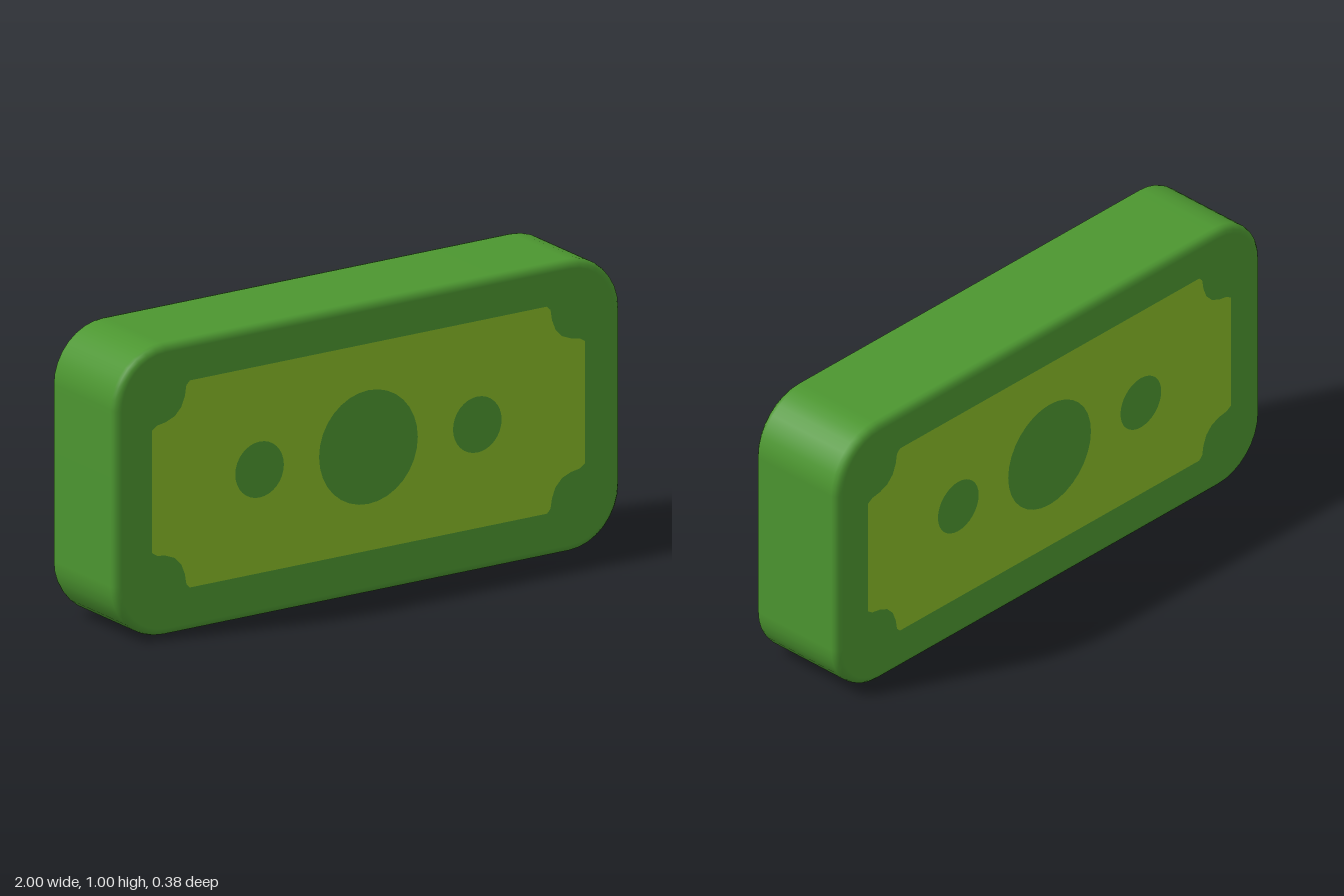
import * as THREE from 'three';

const HALF_W = 1, HALF_H = 0.5, HALF_D = 0.1875, CORNER = 0.2, BEVEL = 0.027;

// Rounded slab with a soft bevel; normals follow the ideal rounded surface
function slabGeometry() {
  const w = HALF_W - BEVEL, h = HALF_H - BEVEL, r = CORNER - BEVEL;
  const s = new THREE.Shape();
  s.moveTo(w, h - r);
  s.absarc(w - r, h - r, r, 0, Math.PI / 2);
  s.absarc(-w + r, h - r, r, Math.PI / 2, Math.PI);
  s.absarc(-w + r, -h + r, r, Math.PI, Math.PI * 1.5);
  s.absarc(w - r, -h + r, r, Math.PI * 1.5, Math.PI * 2);
  const depth = 2 * (HALF_D - BEVEL);
  const geo = new THREE.ExtrudeGeometry(s, {
    depth, curveSegments: 4, bevelEnabled: true,
    bevelSize: BEVEL, bevelThickness: BEVEL, bevelSegments: 3,
  });
  geo.translate(0, 0, -depth / 2);
  const p = geo.attributes.position, n = new THREE.Vector3();
  for (let i = 0; i < p.count; i++) {
    const x = p.getX(i), y = p.getY(i), z = p.getZ(i);
    const dx = x - THREE.MathUtils.clamp(x, r - w, w - r);
    const dy = y - THREE.MathUtils.clamp(y, r - h, h - r);
    const len = Math.hypot(dx, dy) || 1;
    const out = Math.max(len - r, 0);
    const dz = Math.max(Math.abs(z) - depth / 2, 0) * Math.sign(z);
    n.set(dx / len * out, dy / len * out, dz).normalize();
    geo.attributes.normal.setXYZ(i, n.x, n.y, n.z);
  }
  return geo;
}

// Printed panel with scooped corners and three round openings
function panelGeometry() {
  const w = 0.855, h = 0.355;
  const notch = [[0, 0.145], [0.02, 0.132], [0.055, 0.126], [0.09, 0.112],
    [0.116, 0.085], [0.13, 0.05], [0.136, 0.014], [0.15, 0]];
  const points = [];
  for (const [sx, sy] of [[1, 1], [-1, 1], [-1, -1], [1, -1]]) {
    const corner = notch.map(([a, b]) => new THREE.Vector2(sx * (w - a), sy * (h - b)));
    points.push(...(sx * sy > 0 ? corner : corner.reverse()));
  }
  const s = new THREE.Shape(points);
  for (const [x, r] of [[0, 0.195], [-0.43, 0.096], [0.43, 0.096]]) {
    s.holes.push(new THREE.Path().absarc(x, 0, r, 0, Math.PI * 2, true));
  }
  return new THREE.ShapeGeometry(s, 16);
}

export function createModel() {
  const group = new THREE.Group();
  group.name = 'banknoteBlock';
  const green = new THREE.MeshStandardMaterial({ color: 0x4c9630 });
  green.name = 'green';
  const lime = new THREE.MeshStandardMaterial({ color: 0x88bb27 });
  lime.name = 'lime';

  const body = new THREE.Mesh(slabGeometry(), green);
  body.name = 'body';
  body.position.y = HALF_H;
  group.add(body);

  // Same panel on the front and the back
  const panel = panelGeometry();
  for (const [name, side] of [['frontPanel', 1], ['backPanel', -1]]) {
    const mesh = new THREE.Mesh(panel, lime);
    mesh.name = name;
    mesh.position.set(0, 0.505, side * (HALF_D + 0.001));
    if (side < 0) mesh.rotation.y = Math.PI;
    group.add(mesh);
  }
  return group;
}
